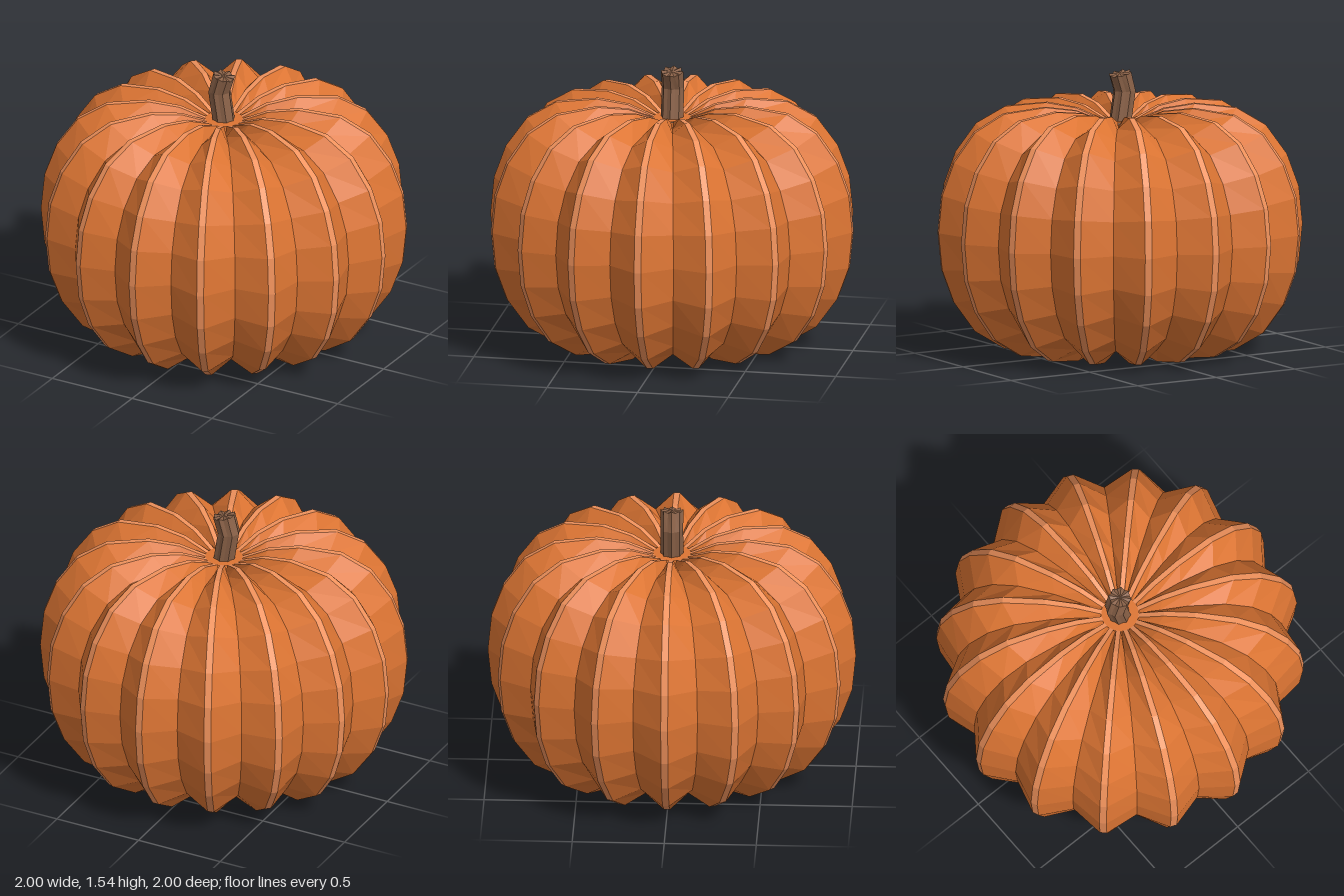
import * as THREE from 'three';

const LOBES = 16;
const MID = 0.675;
// upper half of the ridge curve: radius, height above the middle
const HALF = [[1, 0], [0.98, 0.205], [0.915, 0.385], [0.8, 0.547], [0.64, 0.645], [0.41, 0.675], [0.24, 0.652], [0.1, 0.595]];
const PROFILE = [...HALF.slice(1).reverse().map(([r, h]) => [r, -h]), ...HALF];

// Faceted skin between neighbouring columns of points (each running bottom to top)
function skin(strips) {
  const pos = [];
  for (const cols of strips)
    for (let i = 0; i + 1 < cols.length; i++)
      for (let j = 0; j + 1 < cols[i].length; j++) {
        const a = cols[i][j], b = cols[i][j + 1], c = cols[i + 1][j + 1], d = cols[i + 1][j];
        pos.push(...a, ...b, ...c, ...a, ...c, ...d);
      }
  const g = new THREE.BufferGeometry();
  g.setAttribute('position', new THREE.Float32BufferAttribute(pos, 3));
  g.computeVertexNormals();
  return g;
}

// One edge of a ridge band, offset sideways to side -1 or +1
function ridgeEdge(k, side) {
  const a = (k / LOBES) * Math.PI * 2, c = Math.cos(a), s = Math.sin(a);
  return PROFILE.map(([r, h]) => {
    const w = side * (0.012 + 0.007 * r);
    return [r * c - w * s, MID + h, r * s + w * c];
  });
}

// Groove between two lobes: the ridge curve shrunk toward the centre
function groove(k) {
  const a = ((k + 0.5) / LOBES) * Math.PI * 2;
  return PROFILE.map(([r, h]) => [r * 0.9 * Math.cos(a), MID + h * 0.9, r * 0.9 * Math.sin(a)]);
}

export function createModel() {
  const model = new THREE.Group();
  const add = (name, geometry, color) => {
    const mesh = new THREE.Mesh(geometry, new THREE.MeshStandardMaterial({ color, flatShading: true, side: THREE.DoubleSide }));
    mesh.name = name;
    model.add(mesh);
    return mesh;
  };

  // Lobed body and the pale bands along its ridges
  const lobes = [], bands = [];
  for (let k = 0; k < LOBES; k++) {
    lobes.push([ridgeEdge(k, 1), groove(k), ridgeEdge(k + 1, -1)]);
    bands.push([ridgeEdge(k, -1), ridgeEdge(k, 1)]);
  }
  add('body', skin(lobes), 0xdd7533);
  add('ridgeBands', skin(bands), 0xf0925c);

  // Discs closing the hollows at top and bottom
  for (const side of [1, -1]) {
    const disc = add(side > 0 ? 'topDisc' : 'bottomDisc', new THREE.CircleGeometry(0.105, LOBES), 0xdd7533);
    disc.rotation.x = -side * Math.PI / 2;
    disc.position.y = MID + side * 0.594;
  }

  // Fluted, kinked stem: centre x, height, tilt of each ring
  const rings = [[0.0, 1.25, 0], [-0.029, 1.43, 0], [0.0, 1.53, -0.2]];
  const flutes = 16, cols = [];
  for (let i = 0; i <= flutes; i++) {
    const a = (i / flutes) * Math.PI * 2, r = i % 2 ? 0.054 : 0.062;
    const col = rings.map(([x, y, tilt], j) => {
      const jag = j === 2 && i % 2 ? -0.01 : 0;
      return [x + r * Math.cos(a), y + tilt * r * Math.cos(a) + jag, r * Math.sin(a)];
    });
    col.push([0, 1.525, 0]);
    cols.push(col);
  }
  add('stem', skin([cols]), 0x8b6248);

  return model;
}
